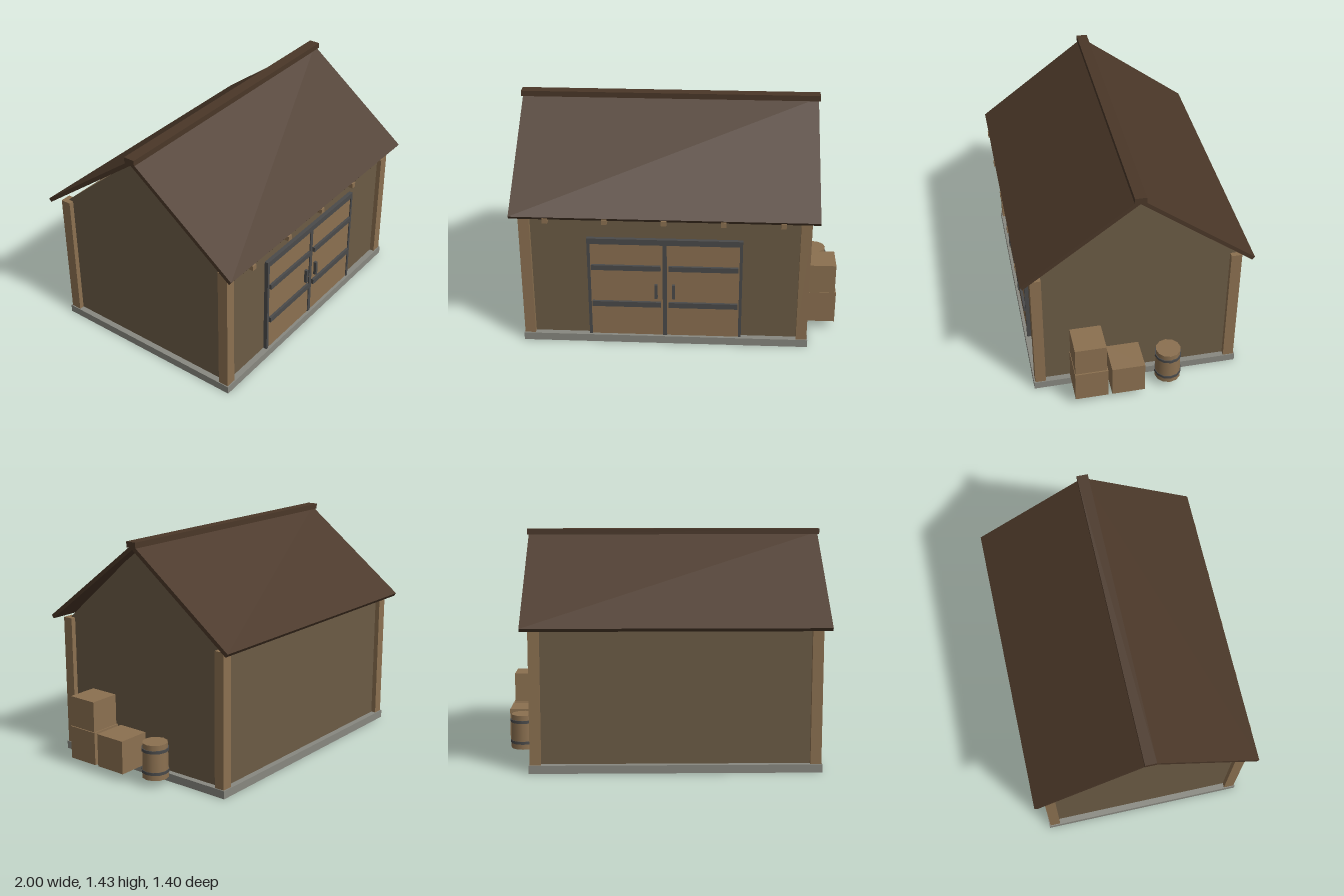
import * as THREE from 'three';

const mat = (color) => new THREE.MeshStandardMaterial({ color });

export function createModel() {
  const model = new THREE.Group();
  const wall = mat(0x6b5b45), wood = mat(0x8b7050), roof = mat(0x4a3728);
  const metal = mat(0x4a4a4a), stone = mat(0x888880);
  const cx = -0.067; // middle of the building

  const add = (name, geometry, material, x = 0, y = 0, z = 0, parent = model) => {
    const mesh = new THREE.Mesh(geometry, material);
    mesh.name = name;
    mesh.position.set(x, y, z);
    parent.add(mesh);
    return mesh;
  };
  // Box given by its lower and upper corners
  const box = (name, material, [x0, y0, z0], [x1, y1, z1], parent) =>
    add(name, new THREE.BoxGeometry(x1 - x0, y1 - y0, z1 - z0), material,
      (x0 + x1) / 2, (y0 + y1) / 2, (z0 + z1) / 2, parent);

  // Foundation and walls
  box('foundation', stone, [cx - 0.885, 0, -0.645], [cx + 0.885, 0.05, 0.645]);
  box('walls', wall, [cx - 0.848, 0.05, -0.607], [cx + 0.848, 0.877, 0.607]);

  // Thin triangular gables at both ends
  const triangle = new THREE.Shape();
  triangle.moveTo(-0.607, 0.877);
  triangle.lineTo(0.607, 0.877);
  triangle.lineTo(0, 1.4);
  for (const side of [-1, 1]) {
    const geometry = new THREE.ExtrudeGeometry(triangle, { depth: 0.02, bevelEnabled: false });
    geometry.rotateY(Math.PI / 2);
    add('gable', geometry, wall, cx + (side > 0 ? 0.828 : -0.848));
  }

  // Corner posts
  for (const sx of [-1, 1]) for (const sz of [-1, 1]) {
    add('cornerPost', new THREE.BoxGeometry(0.066, 0.827, 0.066), wood,
      cx + sx * 0.846, 0.4635, sz * 0.604);
  }

  // Roof slopes and ridge cap
  const rise = 1.403 - 0.879, run = 0.692;
  for (const side of [-1, 1]) {
    const slope = add('roofSlope', new THREE.BoxGeometry(1.846, 0.025, Math.hypot(rise, run)),
      roof, cx, (1.403 + 0.879) / 2, side * run / 2);
    slope.rotation.x = side * Math.atan2(rise, run);
  }
  box('ridgeCap', roof, [cx - 0.933, 1.4, -0.035], [cx + 0.933, 1.435, 0.035]);

  // Rafter ends under the front eave
  for (let i = -2; i <= 2; i++) {
    const x = cx + i * 0.353;
    box('rafterEnd', wood, [x - 0.016, 0.85, 0.58], [x + 0.016, 0.881, 0.703]);
  }

  // Double door with iron frame, bands and handles
  const door = new THREE.Group();
  door.name = 'doubleDoor';
  door.position.x = cx;
  model.add(door);
  box('frameTop', metal, [-0.472, 0.683, 0.6], [0.472, 0.72, 0.632], door);
  box('frameMiddle', metal, [-0.013, 0.05, 0.6], [0.013, 0.683, 0.632], door);
  for (const s of [-1, 1]) {
    const panel = (name, material, a, b, y0, y1, z) =>
      box(name, material, [Math.min(s * a, s * b), y0, 0.6], [Math.max(s * a, s * b), y1, z], door);
    panel('frameSide', metal, 0.454, 0.472, 0.05, 0.683, 0.632);
    panel('doorLeaf', wood, 0.013, 0.454, 0.05, 0.683, 0.626);
    panel('doorBand', metal, 0.024, 0.447, 0.51, 0.543, 0.642);
    panel('doorBand', metal, 0.024, 0.447, 0.255, 0.29, 0.642);
    panel('doorHandle', metal, 0.044, 0.062, 0.32, 0.414, 0.645);
  }

  // Crates by the left wall
  box('crateFront', wood, [0.795, 0.05, 0.211], [1, 0.258, 0.415]);
  box('crateBack', wood, [0.795, 0.05, -0.017], [1, 0.258, 0.187]);
  box('crateUpper', wood, [0.8, 0.258, 0.22], [0.992, 0.45, 0.412]);

  // Barrel with two hoops
  const barrel = new THREE.Group();
  barrel.name = 'barrel';
  barrel.position.set(0.893, 0, -0.185);
  model.add(barrel);
  add('barrelBody', new THREE.CylinderGeometry(0.077, 0.081, 0.218, 12), wood, 0, 0.159, 0, barrel);
  for (const y of [0.092, 0.227]) {
    add('barrelHoop', new THREE.CylinderGeometry(0.084, 0.084, 0.018, 12), metal, 0, y, 0, barrel);
  }

  return model;
}
